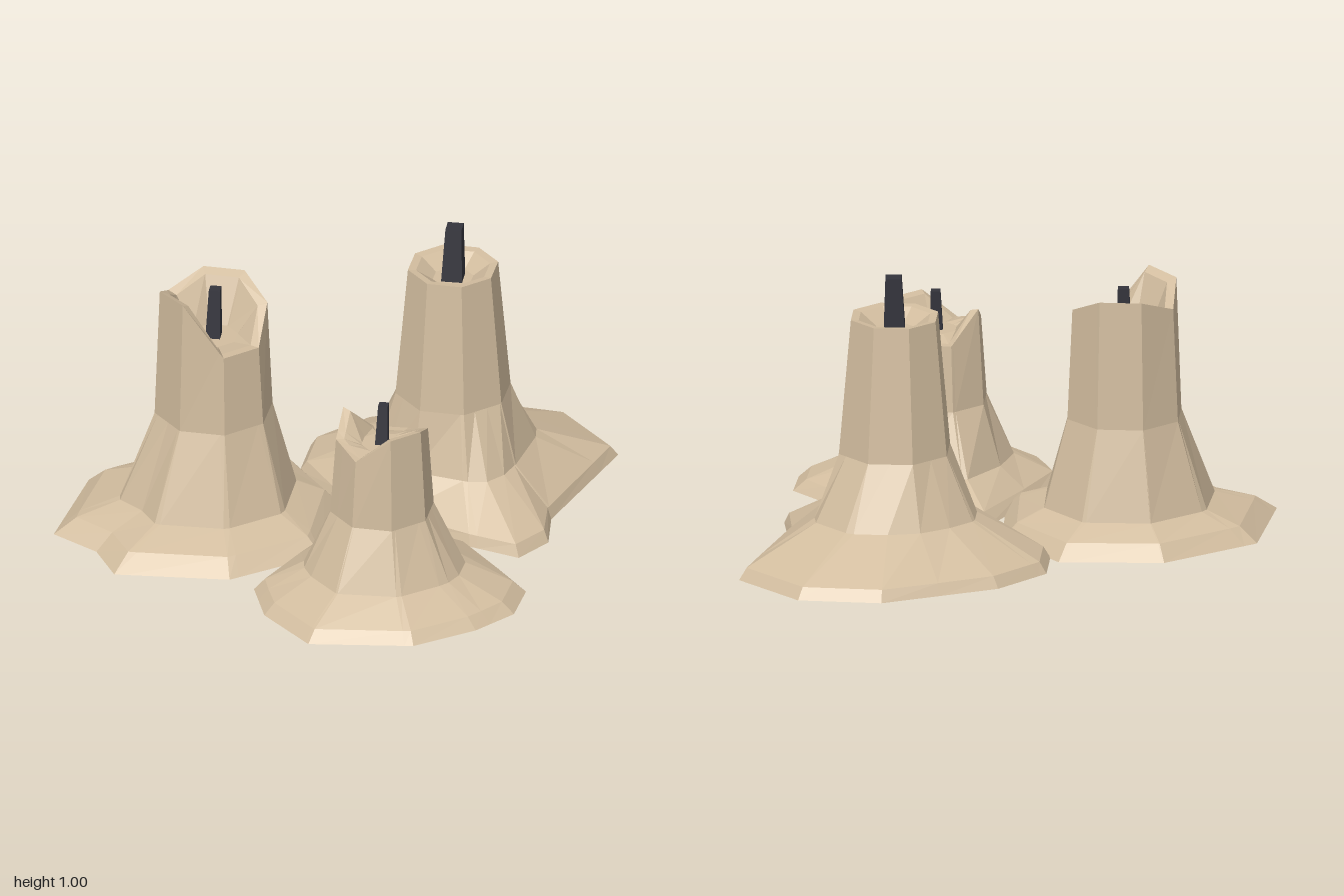
import * as THREE from 'three';

const TAU = Math.PI * 2;
const { lerp } = THREE.MathUtils;
const wax = new THREE.MeshStandardMaterial({ color: 0xd2bd9f, side: THREE.DoubleSide, flatShading: true });
wax.name = 'tan wax';
const char = new THREE.MeshStandardMaterial({ color: 0x34343c, flatShading: true });
char.name = 'charred wick';

// Distance from the centre to a polygon outline, along an angle
function reach(poly, angle) {
  const dx = Math.cos(angle), dz = Math.sin(angle);
  let best = 0;
  poly.forEach(([ax, az], i) => {
    const [bx, bz] = poly[(i + 1) % poly.length];
    const ex = bx - ax, ez = bz - az;
    const det = dx * ez - dz * ex;
    if (Math.abs(det) < 1e-9) return;
    const t = (ax * ez - az * ex) / det;
    const s = (ax * dz - az * dx) / det;
    if (t > 0 && s > -1e-6 && s < 1 + 1e-6) best = Math.max(best, t);
  });
  return best;
}

// Octagon radius along an angle, with its corners on the axes and diagonals
function octagon(angle) {
  return Math.cos(TAU / 16) / Math.cos(angle % (TAU / 8) - TAU / 16);
}

// Wax shell: spread puddle, flared foot, octagonal body, uneven rim and hollow top
function waxShell({ centre, outline, lip, flare, waist, rim, rimRadius, floor }) {
  const base = outline.map(([x, z]) => [x - centre[0], z - centre[1]]);
  const angles = base.map(([x, z]) => (Math.atan2(z, x) + TAU) % TAU);
  for (let k = 0; k < 8; k++) angles.push(k * TAU / 8);
  angles.sort((a, b) => a - b);

  const rimHeight = (a) => {
    const f = a / (TAU / 8), k = Math.floor(f);
    return lerp(rim[k % 8], rim[(k + 1) % 8], f - k);
  };
  const footRing = ([y, spread]) => (a) => [lerp(waist[1] * octagon(a), reach(base, a), spread), y];
  const topRing = (share, drop) => (a) => [rimRadius * share * octagon(a), lerp(rimHeight(a), floor, drop)];
  const rings = [
    footRing([0, 1]), footRing(lip), footRing(flare), footRing([waist[0], 0]),
    topRing(1, 0), topRing(0.82, 0.08), topRing(0.45, 1), topRing(0, 1),
  ];

  const n = angles.length, positions = [], index = [];
  for (const ring of rings) {
    for (const a of angles) {
      const [r, y] = ring(a);
      positions.push(centre[0] + r * Math.cos(a), y, centre[1] + r * Math.sin(a));
    }
  }
  for (let i = 0; i < rings.length - 1; i++) {
    for (let j = 0; j < n; j++) {
      const a = i * n + j, b = i * n + (j + 1) % n;
      index.push(a, a + n, b, b, a + n, b + n);
    }
  }
  const g = new THREE.BufferGeometry();
  g.setAttribute('position', new THREE.Float32BufferAttribute(positions, 3));
  g.setIndex(index);
  const flat = g.toNonIndexed();
  flat.computeVertexNormals();
  return flat;
}

// Square tapered wick, leaning slightly backward at the top
function wickGeometry({ centre, wick }) {
  const [bottom, top, radius] = wick;
  const g = new THREE.CylinderGeometry(radius * 0.75, radius, top - bottom, 4);
  g.rotateY(0.45);
  const p = g.attributes.position;
  for (let i = 0; i < p.count; i++) {
    if (p.getY(i) > 0) p.setXYZ(i, p.getX(i) + 0.008, p.getY(i), p.getZ(i) - 0.014);
  }
  g.translate(centre[0], (bottom + top) / 2, centre[1]);
  const flat = g.toNonIndexed();
  flat.computeVertexNormals();
  return flat;
}

// lip and flare: [height, share of the way out to the puddle edge]
// waist: [height, radius]; rim: heights from +x round through +z
// wick: [bottom, top, radius]
const backLeftCandle = {
  centre: [0.405, -0.3],
  outline: [[1, -0.41], [0.69, 0], [0.65, 0.16], [0.53, 0.25], [0.38, 0.14], [0, -0.2],
    [-0.09, -0.5], [-0.02, -0.67], [0.19, -0.78], [0.62, -0.81], [0.88, -0.69]],
  lip: [0.04, 0.93],
  flare: [0.16, 0.28],
  waist: [0.38, 0.2],
  rim: Array(8).fill(0.855),
  rimRadius: 0.157,
  floor: 0.81,
  wick: [0.8, 1, 0.052],
};

const backRightCandle = {
  centre: [-0.435, -0.26],
  outline: [[0, -0.25], [-0.13, 0.11], [-0.47, 0.22], [-0.85, 0.11], [-0.88, -0.06],
    [-1, -0.21], [-0.81, -0.57], [-0.44, -0.68], [-0.1, -0.56]],
  lip: [0.055, 0.78],
  flare: [0.1, 0.36],
  waist: [0.41, 0.205],
  rim: [0.8, 0.7, 0.7, 0.89, 0.88, 0.81, 0.86, 0.86],
  rimRadius: 0.187,
  floor: 0.69,
  wick: [0.68, 0.865, 0.036],
};

const frontCandle = {
  centre: [0.03, 0.38],
  outline: [[0.51, 0.49], [0.44, 0.64], [0.29, 0.73], [0.06, 0.8], [-0.29, 0.72],
    [-0.4, 0.49], [-0.4, 0.3], [0, -0.1], [0.38, 0.15]],
  lip: [0.04, 0.86],
  flare: [0.11, 0.36],
  waist: [0.32, 0.18],
  rim: [0.61, 0.66, 0.66, 0.565, 0.6, 0.66, 0.55, 0.555],
  rimRadius: 0.16,
  floor: 0.57,
  wick: [0.56, 0.71, 0.031],
};

export function createModel() {
  const model = new THREE.Group();
  model.name = 'meltedCandles';
  for (const [name, spec] of Object.entries({ backLeftCandle, backRightCandle, frontCandle })) {
    const candle = new THREE.Group();
    candle.name = name;
    const shell = new THREE.Mesh(waxShell(spec), wax);
    shell.name = 'wax';
    const wick = new THREE.Mesh(wickGeometry(spec), char);
    wick.name = 'wick';
    candle.add(shell, wick);
    model.add(candle);
  }
  return model;
}
